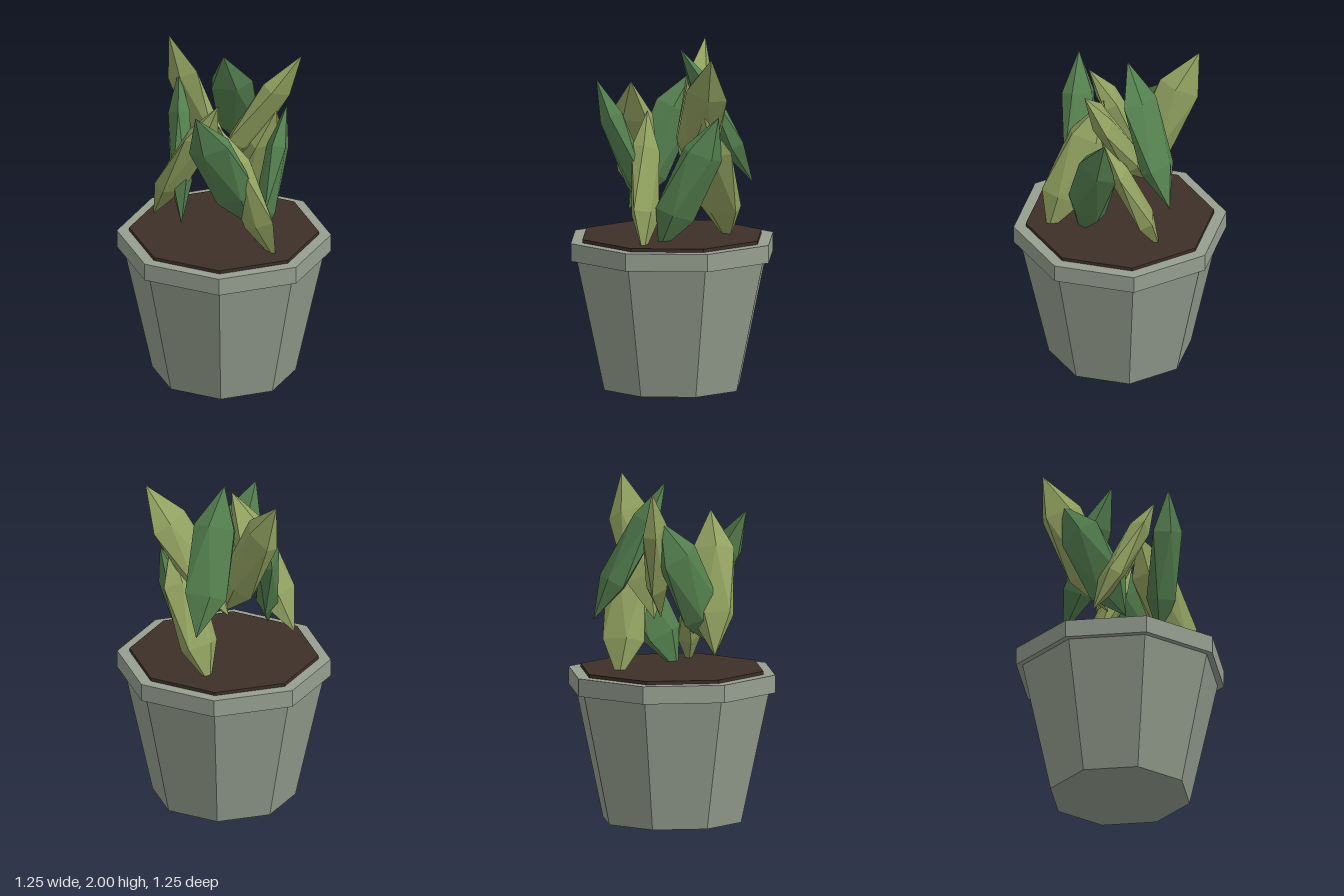
import * as THREE from 'three';

const mat = (color) => new THREE.MeshStandardMaterial({ color, flatShading: true });

export function createModel() {
  const model = new THREE.Group();
  const clay = mat(0x969f90), earth = mat(0x3d3027);
  const olive = mat(0x92a260), green = mat(0x54804f);

  // Eight-sided pot, rim and soil
  const tier = (name, rTop, rBottom, y0, y1, material) => {
    const mesh = new THREE.Mesh(new THREE.CylinderGeometry(rTop, rBottom, y1 - y0, 8), material);
    mesh.position.y = (y0 + y1) / 2;
    mesh.name = name;
    model.add(mesh);
  };
  tier('potBody', 0.59, 0.42, 0, 0.78, clay);
  tier('potRim', 0.627, 0.627, 0.775, 0.88, clay);
  tier('soil', 0.555, 0.555, 0.86, 0.9, earth);

  // Unit leaf: icosahedron with a corner at each end of the y axis
  const leafShape = new THREE.IcosahedronGeometry(1, 0);
  leafShape.rotateZ(-Math.atan(2 / (1 + Math.sqrt(5))));

  // Leaves as [base x, base z, tip x, tip z], climbing in three tiers
  // around the pot by an eighth of a turn each
  const leaves = [
    [0.27, -0.2, 0.28, 0.15], [0.03, 0.24, 0.37, 0.14], [0.02, 0.43, -0.12, 0.08],
    [-0.01, 0.24, -0.4, 0.19], [-0.33, -0.25, -0.19, 0.16], [-0.3, -0.04, -0.03, -0.36],
    [0.05, -0.06, -0.01, -0.47], [0.41, -0.24, 0.03, -0.04], [0.07, -0.13, 0.38, 0.26],
  ];
  const foliage = new THREE.Group();
  foliage.name = 'foliage';
  leaves.forEach(([bx, bz, tx, tz], i) => {
    const y = 0.84 + 0.18 * Math.floor(i / 3);
    const base = new THREE.Vector3(bx, y, bz), tip = new THREE.Vector3(tx, y + 0.8, tz);
    const along = tip.clone().sub(base);
    const length = along.length();
    along.normalize();
    // The broad side of each blade turns an eighth from the one before
    const a = (i * Math.PI) / 4;
    const broad = new THREE.Vector3(Math.cos(a), 0, -Math.sin(a));
    broad.addScaledVector(along, -broad.dot(along)).normalize();
    const thin = broad.clone().cross(along);
    const leaf = new THREE.Mesh(leafShape, i % 2 ? green : olive);
    leaf.quaternion.setFromRotationMatrix(new THREE.Matrix4().makeBasis(broad, along, thin));
    leaf.position.copy(base).add(tip).multiplyScalar(0.5);
    leaf.scale.set(0.15, length / 2, 0.075);
    leaf.name = 'leaf' + (i + 1);
    foliage.add(leaf);
  });
  model.add(foliage);
  return model;
}
